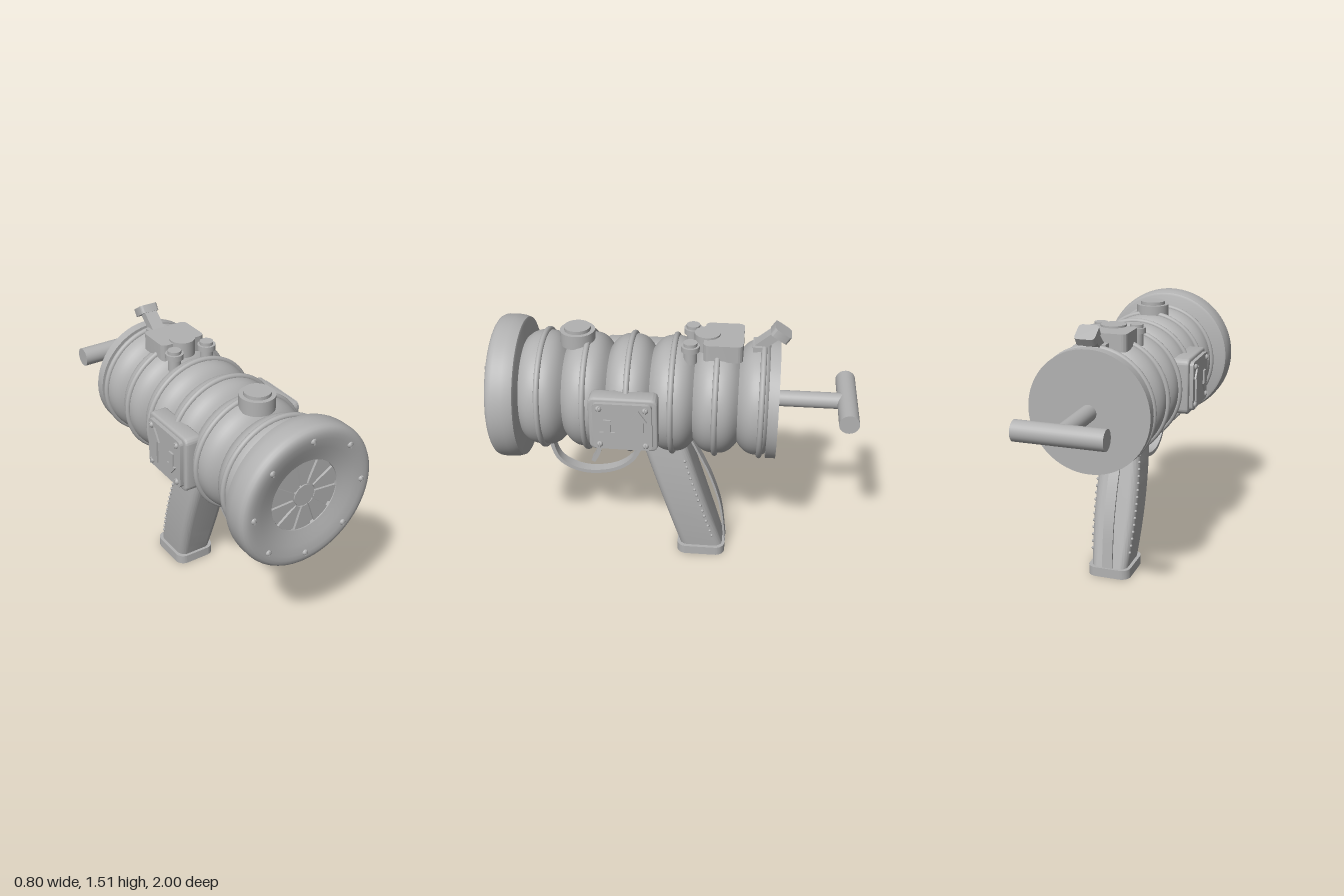
import * as THREE from 'three';
import { toCreasedNormals } from 'three/addons/utils/BufferGeometryUtils.js';

const AXIS = 1.06; // height of the barrel axis

export function createModel() {
  const root = new THREE.Group();
  const grey = new THREE.MeshStandardMaterial({ color: 0xb2b2b2 });
  grey.name = 'grey';

  const add = (name, geo, x = 0, y = 0, z = 0, parent = root) => {
    const m = new THREE.Mesh(geo, grey);
    m.name = name;
    m.position.set(x, y, z);
    parent.add(m);
    return m;
  };
  const V2 = (a) => a.map(([x, y]) => new THREE.Vector2(x, y));
  // profile of [radius, z], turned about the barrel axis
  const lathe = (pts, seg = 56) =>
    toCreasedNormals(new THREE.LatheGeometry(V2(pts), seg).rotateX(Math.PI / 2), 0.6);
  const upright = (r, h, seg = 32) => new THREE.CylinderGeometry(r, r, h, seg);
  const roundRect = (w, h, r) => {
    const s = new THREE.Shape(), a = w / 2 - r, b = h / 2 - r;
    s.absarc(a, b, r, 0, Math.PI / 2);
    s.absarc(-a, b, r, Math.PI / 2, Math.PI);
    s.absarc(-a, -b, r, Math.PI, Math.PI * 1.5);
    s.absarc(a, -b, r, Math.PI * 1.5, Math.PI * 2);
    return s;
  };
  const extrude = (shape, depth, bevel = 0, steps = 1) => new THREE.ExtrudeGeometry(shape, {
    depth: depth - bevel, steps, curveSegments: 8, bevelEnabled: bevel > 0,
    bevelSize: bevel, bevelThickness: bevel, bevelOffset: -bevel, bevelSegments: 3,
  });
  const creased = (g) => toCreasedNormals(g, 0.6);
  // flat band along a curve of [z, y] points, centred on x = 0
  const band = (pts, thick, width) => {
    const c = new THREE.SplineCurve(V2(pts.map(([z, y]) => [-z, y])));
    const outer = [], inner = [];
    for (let i = 0; i <= 30; i++) {
      const p = c.getPoint(i / 30), t = c.getTangent(i / 30);
      const n = new THREE.Vector2(-t.y, t.x).multiplyScalar(thick / 2);
      outer.push(p.clone().add(n));
      inner.unshift(p.clone().sub(n));
    }
    const g = extrude(new THREE.Shape([...outer, ...inner]), width);
    return creased(g.translate(0, 0, -width / 2).rotateY(Math.PI / 2));
  };

  // ribbed barrel: one bulge around each clamp ring
  const rings = [-0.475, -0.23, 0.005, 0.24, 0.475, 0.72];
  const pinches = [-0.53, -0.35, -0.11, 0.125, 0.358, 0.6, 0.85];
  const profile = [[0, -0.53]];
  rings.forEach((c, i) => {
    for (let k = i ? -7 : -8; k <= 8; k++) {
      const t = k / 8;
      const half = t < 0 ? c - pinches[i] : pinches[i + 1] - c;
      profile.push([0.255 + 0.067 * (1 - Math.abs(t) ** 2.8), c + t * half]);
    }
  });
  profile.push([0, 0.85]);
  add('barrel', lathe(profile), 0, AXIS, 0);
  for (const z of rings) {
    add('clampRing', new THREE.TorusGeometry(0.324, 0.016, 12, 64), 0, AXIS, z);
  }

  // dished front bezel
  add('frontBezel', lathe([
    [0, 0.83], [0.375, 0.83], [0.388, 0.836], [0.396, 0.86], [0.4, 0.89], [0.4, 0.945],
    [0.396, 0.963], [0.388, 0.977], [0.374, 0.986], [0.355, 0.989], [0.33, 0.988],
    [0.28, 0.976], [0.235, 0.962], [0.2, 0.952], [0.2, 0.935], [0, 0.935],
  ], 72), 0, AXIS, 0);
  // grille hub and blades
  add('grilleHub', new THREE.CylinderGeometry(0.062, 0.062, 0.03, 10).rotateX(Math.PI / 2), 0, AXIS, 0.934);
  for (let i = 0; i < 10; i++) {
    const a = (i / 10) * Math.PI * 2, s = new THREE.Shape();
    s.absarc(0, 0, 0.198, a + 0.08, a + 0.58, false);
    s.absarc(0, 0, 0.066, a + 0.66, a + 0.18, true);
    s.closePath();
    add('grilleBlade', extrude(s, 0.018), 0, AXIS, 0.93);
  }
  // slotted screws, dome facing local +z
  const screw = (parent, x, y, z) => {
    const g = new THREE.Group();
    g.name = 'screw';
    g.position.set(x, y, z);
    parent.add(g);
    const dome = new THREE.SphereGeometry(0.017, 16, 8, 0, Math.PI * 2, 0, Math.PI / 2);
    add('screwHead', dome.scale(1, 0.85, 1).rotateX(Math.PI / 2), 0, 0, 0, g);
    add('screwRidge', new THREE.BoxGeometry(0.006, 0.03, 0.016), 0, 0, 0.007, g);
    return g;
  };
  for (let i = 0; i < 8; i++) {
    const a = (i * Math.PI) / 4;
    screw(root, 0.33 * Math.cos(a), AXIS + 0.33 * Math.sin(a), 0.985);
  }

  // rear plate and T handle
  add('rearPlate', creased(new THREE.CylinderGeometry(0.335, 0.335, 0.055, 64).rotateX(Math.PI / 2)), 0, AXIS, -0.538);
  add('handleRod', new THREE.CylinderGeometry(0.045, 0.045, 0.38, 32).rotateX(Math.PI / 2), 0, AXIS, -0.75);
  add('handleBar', new THREE.CylinderGeometry(0.055, 0.055, 0.48, 32).rotateZ(Math.PI / 2), 0, AXIS, -0.945);

  // side panels with arrows; u runs along the barrel
  const arrow = (u, y0, y1, stem, head, headLen) => {
    const neck = y1 - Math.sign(y1 - y0) * headLen;
    return new THREE.Shape(V2([[u - stem, y0], [u + stem, y0], [u + stem, neck], [u + head, neck],
      [u, y1], [u - head, neck], [u - stem, neck]]));
  };
  for (const s of [1, -1]) {
    const panel = new THREE.Group();
    panel.name = s > 0 ? 'leftPanel' : 'rightPanel';
    panel.position.set(0, AXIS, 0.25);
    panel.rotation.y = (s * Math.PI) / 2;
    root.add(panel);
    add('panelBox', creased(extrude(roundRect(0.37, 0.32, 0.035), 0.085, 0.012)), 0, 0, 0.272, panel);
    add('panelCover', creased(extrude(roundRect(0.315, 0.28, 0.025), 0.03)), 0, 0, 0.348, panel);
    add('downArrow', extrude(arrow(-s * 0.08, 0.045, -0.08, 0.02, 0.04, 0.05), 0.012), 0, 0, 0.376, panel);
    add('upArrow', extrude(arrow(s * 0.087, -0.095, 0.11, 0.026, 0.046, 0.07), 0.012), 0, 0, 0.376, panel);
    for (const u of [-0.123, 0.123]) for (const v of [-0.11, 0.11]) screw(panel, u, v, 0.378);
  }

  // top knob near the front
  add('topKnobBase', upright(0.095, 0.08), 0, 1.393, 0.535);
  add('topKnobCap', upright(0.072, 0.03), 0, 1.437, 0.535);

  // top control block with button and two small knobs
  add('controlBlock', creased(extrude(roundRect(0.27, 0.21, 0.03), 0.095)
    .rotateX(-Math.PI / 2)), 0, 1.342, -0.26);
  add('controlButton', upright(0.07, 0.09), 0, 1.403, -0.17);
  for (const x of [-0.103, 0.103]) {
    add('smallKnobStem', upright(0.036, 0.1), x, 1.37, -0.085);
    add('smallKnobCap', upright(0.05, 0.03), x, 1.405, -0.085);
    add('smallKnobTop', upright(0.037, 0.02), x, 1.428, -0.085);
  }

  // tilted rear sight
  add('sightFoot', new THREE.BoxGeometry(0.12, 0.03, 0.05), 0, 1.385, -0.44);
  add('sightStem', band([[-0.425, 1.37], [-0.49, 1.425], [-0.55, 1.475]], 0.05, 0.075));
  const head = add('sightHead', creased(extrude(roundRect(0.11, 0.105, 0.02), 0.045)
    .translate(0, 0, -0.0225).rotateX(-Math.PI / 2)), 0, 1.466, -0.56);
  head.rotation.x = -0.58;

  // raked, slightly swollen grip
  const gripZ = (y) => -0.16 + 0.307 * (y - 0.05);
  const halfW = (y) => 0.125 - 0.146 * (y - 0.42) ** 2;
  const grip = extrude(roundRect(2, 0.252, 0.05), 0.81, 0, 16);
  const outline = extrude(roundRect(0.24, 0.252, 0.05), 0.81, 0, 16).rotateX(-Math.PI / 2);
  grip.dispose();
  const p = outline.attributes.position;
  for (let i = 0; i < p.count; i++) {
    const y = p.getY(i) + 0.04;
    p.setXYZ(i, (p.getX(i) * halfW(y)) / 0.12, y, p.getZ(i) + gripZ(y));
  }
  add('grip', creased(outline));
  add('gripBase', creased(extrude(roundRect(0.25, 0.285, 0.055), 0.055)
    .rotateX(-Math.PI / 2)), 0, 0, -0.158);
  for (let i = 0; i < 15; i++) {
    const y = 0.14 + (0.535 * i) / 14;
    for (const s of [1, -1]) {
      add('gripStud', new THREE.SphereGeometry(0.009, 10, 8), s * (halfW(y) - 0.002), y, gripZ(y) - 0.092);
    }
  }
  add('gripStrap', band([[-0.09, 0.76], [-0.12, 0.7], [-0.205, 0.51], [-0.267, 0.3], [-0.296, 0.06]], 0.012, 0.06));

  // trigger and its guard
  add('triggerGuard', band([[0.728, 0.76], [0.718, 0.67], [0.68, 0.58], [0.59, 0.522], [0.48, 0.506],
    [0.35, 0.535], [0.25, 0.61], [0.19, 0.73]], 0.022, 0.06));
  add('trigger', band([[0.43, 0.8], [0.437, 0.72], [0.452, 0.645], [0.485, 0.58]], 0.024, 0.06));

  return root;
}
